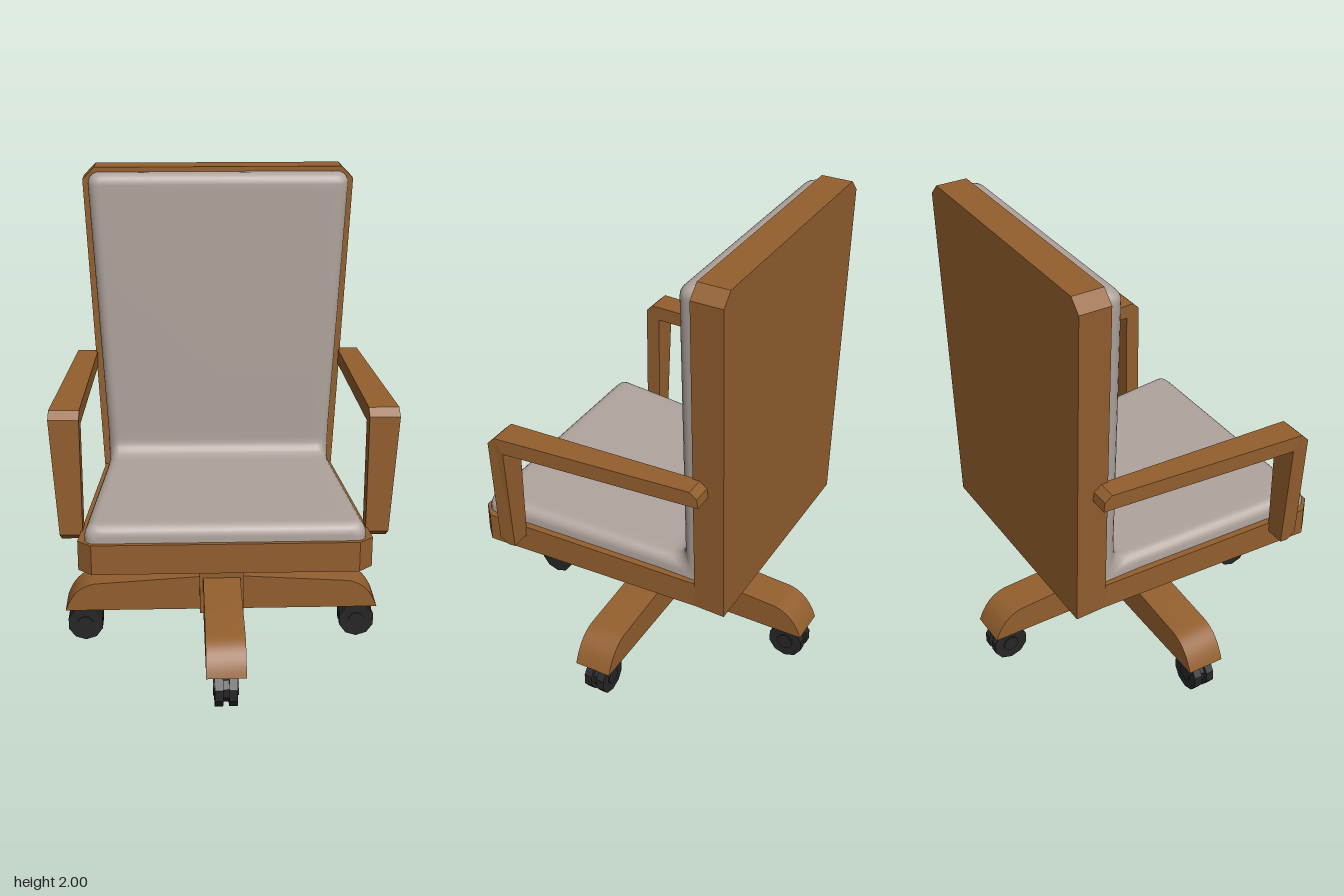
import * as THREE from 'three';
import { toCreasedNormals } from 'three/addons/utils/BufferGeometryUtils.js';

const wood = new THREE.MeshStandardMaterial({ color: 0x935f2e });
wood.name = 'wood';
const fabric = new THREE.MeshStandardMaterial({ color: 0xb0a49d });
fabric.name = 'fabric';
const rubber = new THREE.MeshStandardMaterial({ color: 0x262626 });
rubber.name = 'rubber';

const { lerp } = THREE.MathUtils;

function mesh(name, geometry, material) {
  const m = new THREE.Mesh(geometry, material);
  m.name = name;
  return m;
}

// Extrude a polygon by a depth
function prism(points, depth) {
  const shape = new THREE.Shape(points.map(([x, y]) => new THREE.Vector2(x, y)));
  return new THREE.ExtrudeGeometry(shape, { depth, bevelEnabled: false });
}

// Move every vertex by a rule
function warp(geometry, rule) {
  const p = geometry.attributes.position;
  for (let i = 0; i < p.count; i++) p.setXYZ(i, ...rule(p.getX(i), p.getY(i), p.getZ(i)));
  geometry.computeVertexNormals();
  return geometry;
}

// Seat frame: tapered plan with cut front corners, sloping down to the back
function seatFrame() {
  const g = prism([[-0.575, -0.545], [-0.52, -0.597], [0.52, -0.597], [0.575, -0.545],
    [0.51, 0.4], [-0.51, 0.4]], 1);
  g.rotateX(-Math.PI / 2);
  return warp(g, (x, y, z) => {
    const t = (0.597 - z) / 1.117;
    return [x, lerp(lerp(0.58, 0.545, t), lerp(0.703, 0.655, t), y), z];
  });
}

// Back frame: wider at the top, with cut top corners
function backFrame() {
  const g = prism([[-0.51, 0.549], [0.51, 0.549], [0.575, 1.95], [0.525, 2],
    [-0.525, 2], [-0.575, 1.95]], 0.13);
  g.translate(0, 0, -0.52);
  return warp(g, (x, y, z) => [x, y < 0.6 && z < -0.45 ? 0.545 : y, z]);
}

// One-piece cushion, swept along the seat and up the back with rounded borders
function cushion() {
  const r = 0.045;
  const border = [[0, 0], [0, 0.4]];
  for (let k = 1; k <= 5; k++) {
    const a = (k / 5) * Math.PI / 2;
    border.push([r * (1 - Math.cos(a)), 0.4 + 0.6 * Math.sin(a)]);
  }
  const planInset = (d) => r - Math.sqrt(Math.max(0, r * r - (r - d) ** 2));
  const rows = []; // base z, base y, top z, top y, half width, height factor
  const seatRow = (z, inset = 0, h = 1) => {
    const t = (0.578 - z) / 0.828;
    rows.push([z, 0.695 - 0.032 * t, z, 0.772 - 0.037 * t, lerp(0.55, 0.493, t) - inset, h]);
  };
  const backRow = (y, inset = 0, h = 1) =>
    rows.push([-0.392, y, -0.32, y, lerp(0.491, 0.553, (y - 0.8) / 1.18) - inset, h]);

  border.forEach(([d, h]) => seatRow(0.578 - d, planInset(d), h));
  for (const z of [0.5, 0.2, -0.1, -0.22]) seatRow(z);
  const bend = new THREE.QuadraticBezierCurve(new THREE.Vector2(-0.25, 0.735),
    new THREE.Vector2(-0.32, 0.735), new THREE.Vector2(-0.32, 0.8));
  bend.getPoints(6).forEach((p) => rows.push([-0.392, 0.658, p.x, p.y, 0.491, 1]));
  for (const y of [0.84, 1.1, 1.5, 1.9]) backRow(y);
  [...border].reverse().forEach(([d, h]) => backRow(1.98 - d, planInset(d), h));

  const cols = [
    ...border.map(([d, h]) => [-1, d, h]), [-1, 0.09, 1], [0, 0, 1], [1, 0.09, 1],
    ...[...border].reverse().map(([d, h]) => [1, d, h]),
  ];
  const pos = [], index = [], n = cols.length;
  rows.forEach(([bz, by, tz, ty, w, hr], i) => cols.forEach(([side, d, hc], j) => {
    const h = hr * hc;
    pos.push(side * (w - d), lerp(by, ty, h), lerp(bz, tz, h));
    if (i && j) {
      const b = i * n + j, a = b - n;
      index.push(a - 1, a, b - 1, a, b, b - 1);
    }
  }));
  const g = new THREE.BufferGeometry();
  g.setAttribute('position', new THREE.Float32BufferAttribute(pos, 3));
  g.setIndex(index);
  g.computeVertexNormals();
  return g;
}

// Armrest: bent side profile, splayed outwards to the front and top
function armrest(side) {
  const g = prism([[-0.44, 0.68], [-0.405, 0.65], [-0.375, 0.65], [-0.375, 1.125], [0.455, 1.125],
    [0.45, 1.165], [0.42, 1.19], [-0.41, 1.19], [-0.44, 1.16]], 1);
  g.rotateY(Math.PI / 2);
  return warp(g, (u, y, z) => {
    const inner = 0.561 - 0.034 * (0.44 - z);
    const outer = 0.681 - 0.071 * (0.44 - z) - 0.065 * Math.max(0, 1.125 - y);
    return [side > 0 ? lerp(inner, outer, u) : -lerp(outer, inner, u), y, z];
  });
}

// Pair of base legs in one bar with rounded ends
function legBar() {
  const s = new THREE.Shape();
  s.moveTo(-0.677, 0.16);
  s.lineTo(0.677, 0.16);
  s.bezierCurveTo(0.655, 0.225, 0.615, 0.275, 0.55, 0.285);
  s.lineTo(0.095, 0.314);
  s.lineTo(-0.095, 0.314);
  s.lineTo(-0.55, 0.285);
  s.bezierCurveTo(-0.615, 0.275, -0.655, 0.225, -0.677, 0.16);
  const g = new THREE.ExtrudeGeometry(s, { depth: 0.16, bevelEnabled: false, curveSegments: 8 });
  g.translate(0, 0, -0.08);
  return toCreasedNormals(g, 0.45);
}

// Twin-wheel caster with its axle along z
function caster() {
  const group = new THREE.Group();
  group.name = 'caster';
  const disc = (name, radius, width, z) => {
    const g = toCreasedNormals(new THREE.CylinderGeometry(radius, radius, width, 10), 0.3);
    g.rotateX(Math.PI / 2);
    const m = mesh(name, g, rubber);
    m.position.set(0, 0.078, z);
    group.add(m);
  };
  for (const s of [-1, 1]) {
    disc('wheel', 0.078, 0.034, s * 0.029);
    disc('hubCap', 0.035, 0.008, s * 0.047);
  }
  disc('axle', 0.06, 0.03, 0);
  const stem = mesh('stem', new THREE.BoxGeometry(0.04, 0.08, 0.024), rubber);
  stem.position.y = 0.125;
  group.add(stem);
  return group;
}

export function createModel() {
  const model = new THREE.Group();
  model.name = 'officeChair';
  model.add(mesh('seatFrame', seatFrame(), wood), mesh('backFrame', backFrame(), wood),
    mesh('cushion', cushion(), fabric),
    mesh('leftArmrest', armrest(1), wood), mesh('rightArmrest', armrest(-1), wood));

  // Pedestal
  const column = mesh('column', new THREE.BoxGeometry(0.19, 0.425, 0.19), wood);
  column.position.y = 0.3575;
  model.add(column);

  // Crossed legs
  for (const turn of [0, Math.PI / 2]) {
    const bar = mesh('legs', legBar(), wood);
    bar.rotation.y = turn;
    model.add(bar);
  }

  // One caster under each leg end
  for (let i = 0; i < 4; i++) {
    const a = i * Math.PI / 2;
    const c = caster();
    c.position.set(0.595 * Math.cos(a), 0, -0.595 * Math.sin(a));
    c.rotation.y = a;
    model.add(c);
  }
  return model;
}
